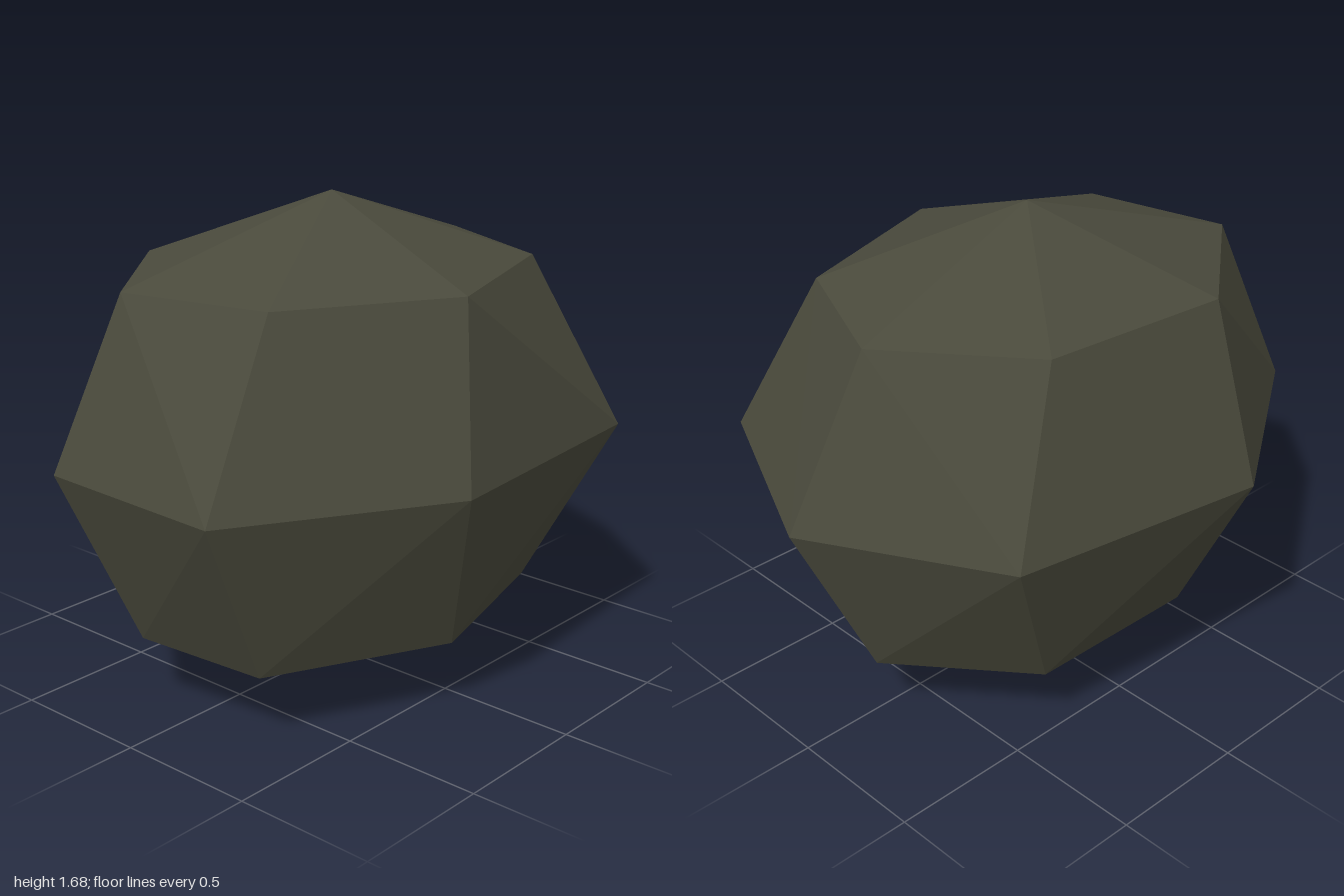
import * as THREE from 'three';

export function createModel() {
  const group = new THREE.Group();
  group.name = 'boulder';
  const stone = new THREE.MeshStandardMaterial({ color: 0x4a4a3c, flatShading: true });
  stone.name = 'dark olive stone';

  // Three uneven seven-sided rings [x, z], running from +x towards +z
  const ring = (y, points) => points.map(([x, z]) => [x, y, z]);
  const upper = ring(1.435, [[0.73, -0.06], [0.51, 0.445], [-0.13, 0.655], [-0.68, 0.33], [-0.8, -0.19], [-0.32, -0.58], [0.365, -0.51]]);
  const middle = ring(0.843, [[1, 0.01], [0.675, 0.72], [-0.28, 0.8], [-1, 0.37], [-0.98, -0.34], [-0.285, -0.805], [0.63, -0.65]]);
  const lower = ring(0.25, [[0.735, -0.06], [0.51, 0.445], [-0.12, 0.615], [-0.73, 0.32], [-0.77, -0.18], [-0.28, -0.51], [0.37, -0.5]]);
  const top = [-0.04, 1.68, 0.015];
  const bottom = [-0.04, 0, 0.015];

  // Facets: a cap fan, two bands of split quads and a base fan
  const positions = [];
  const face = (a, b, c) => positions.push(...a, ...b, ...c);
  for (let i = 0; i < 7; i++) {
    const j = (i + 1) % 7;
    face(top, upper[j], upper[i]);
    face(upper[j], middle[i], upper[i]);
    face(upper[j], middle[j], middle[i]);
    face(middle[i], middle[j], lower[j]);
    face(middle[i], lower[j], lower[i]);
    face(bottom, lower[i], lower[j]);
  }

  const geometry = new THREE.BufferGeometry();
  geometry.setAttribute('position', new THREE.Float32BufferAttribute(positions, 3));
  geometry.computeVertexNormals();
  const rock = new THREE.Mesh(geometry, stone);
  rock.name = 'rock';
  group.add(rock);
  return group;
}
